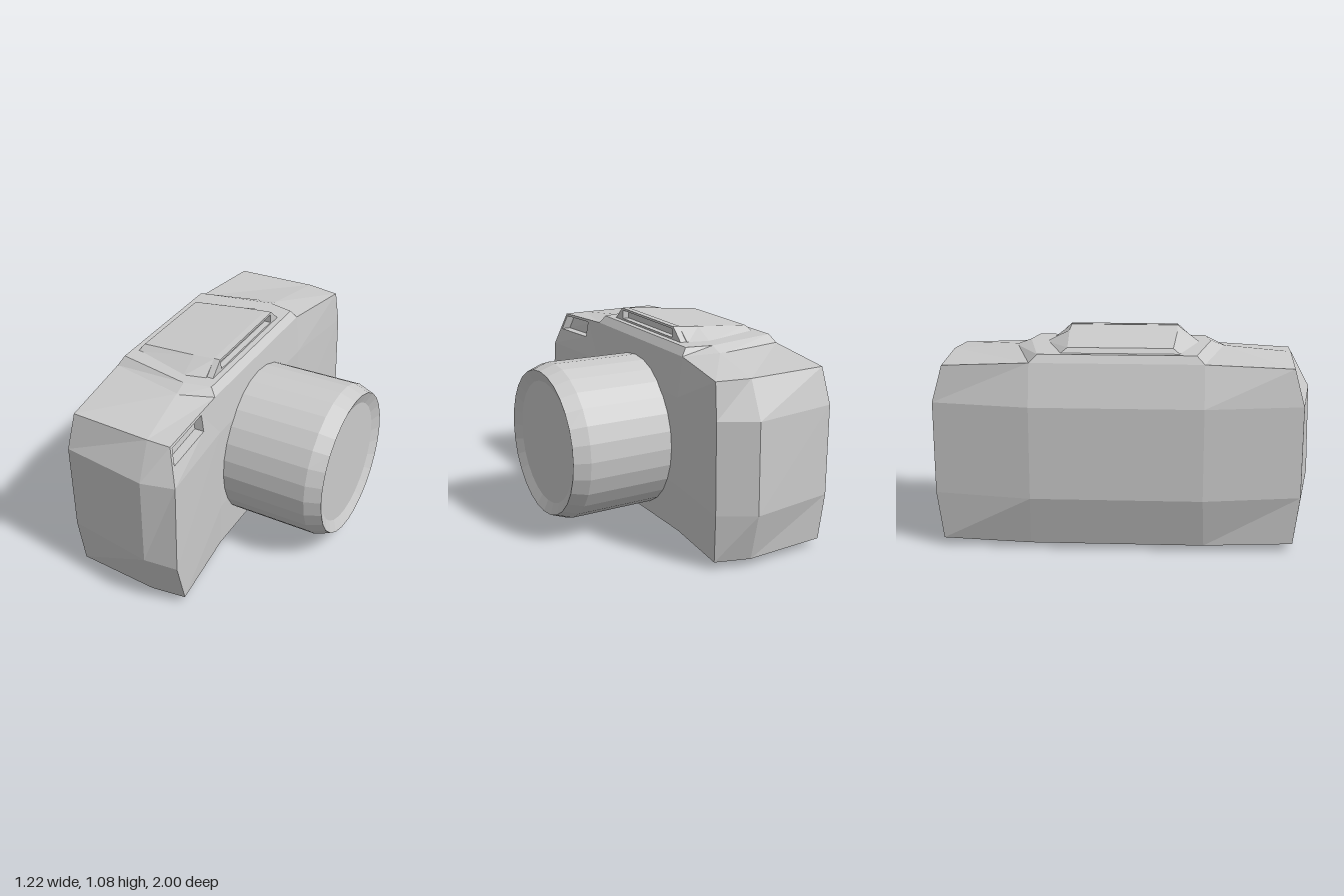
import * as THREE from 'three';

const material = new THREE.MeshStandardMaterial({ color: 0xcccccc, flatShading: true });

// Flat-shaded mesh from quads given as four counter-clockwise corners
function quadMesh(name, quads) {
  const pos = [];
  for (const [a, b, c, d] of quads) for (const p of [a, b, c, a, c, d]) pos.push(...p);
  const g = new THREE.BufferGeometry();
  g.setAttribute('position', new THREE.Float32BufferAttribute(pos, 3));
  g.computeVertexNormals();
  const mesh = new THREE.Mesh(g, material);
  mesh.name = name;
  return mesh;
}

// Quads joining closed rings stacked upward (rings run counter-clockwise from above)
function walls(rings) {
  const quads = [];
  for (let k = 0; k + 1 < rings.length; k++) {
    const lo = rings[k], hi = rings[k + 1], n = lo.length;
    for (let i = 0; i < n; i++) {
      const j = (i + 1) % n;
      quads.push([lo[i], lo[j], hi[j], hi[i]]);
    }
  }
  return quads;
}

// Quads over a grid of rows; rows run from back to front, listed from +z to -z
function sheet(rows, flip) {
  const quads = [];
  for (let r = 0; r + 1 < rows.length; r++) {
    for (let i = 0; i + 1 < rows[r].length; i++) {
      const q = [rows[r][i], rows[r][i + 1], rows[r + 1][i + 1], rows[r + 1][i]];
      quads.push(flip ? q.reverse() : q);
    }
  }
  return quads;
}

// Quads for a panel with a rectangular recess pushed back along x
function recessedPanel([a, b, c, d], u0, u1, v0, v1, depth) {
  const mix = (p, q, t) => p.map((v, i) => v + (q[i] - v) * t);
  const at = (u, v) => mix(mix(a, b, u), mix(d, c, u), v);
  const outer = [a, b, c, d];
  const rim = [at(u0, v0), at(u1, v0), at(u1, v1), at(u0, v1)];
  const floor = rim.map(([x, y, z]) => [x - depth, y, z]);
  return [...walls([outer, rim]), ...walls([rim, floor]), floor];
}

// Six-sided ring from back, middle and front points, mirrored about z = offset
function mirroredRing(points, offset = 0) {
  const side = (s) => points.map(([x, y, z]) => [x, y, offset + s * z]);
  return [...side(1), ...side(-1).reverse()];
}

function makeBody() {
  // Per level: back centre, back end, end middle, front centre as [x, y, z]
  const levels = [
    [[-0.54, 0.03, 0.44], [-0.52, 0.04, 0.89], [-0.08, 0.04, 0.93], [0.05, 0.035, 0.45]],
    [[-0.61, 0.29, 0.43], [-0.53, 0.29, 0.92], [-0.07, 0.29, 1.0], [0.06, 0.29, 0.45]],
    [[-0.61, 0.76, 0.43], [-0.53, 0.76, 0.92], [-0.07, 0.76, 0.99], [0.06, 0.76, 0.45]],
    [[-0.55, 0.97, 0.43], [-0.51, 0.945, 0.87], [-0.08, 0.945, 0.89], [0.04, 0.97, 0.46]],
  ];
  // Front corners differ on the two ends
  const gripCorner = [[0.1, 0.04, 0.91], [0.11, 0.29, 0.985], [0.1, 0.76, 0.95], [0.045, 0.945, 0.89]];
  const farCorner = [[0.1, 0.04, -0.88], [0.11, 0.29, -0.9], [0.11, 0.76, -0.89], [0.1, 0.945, -0.86]];
  const flip = ([x, y, z]) => [x, y, -z];
  const rings = levels.map(([bc, be, m, fc], i) => [
    bc, be, m, gripCorner[i], fc, flip(fc), farCorner[i], flip(m), flip(be), flip(bc),
  ]);

  const quads = walls(rings);
  // Viewfinder window takes the place of the upper front panel on the grip side
  const panel = 2 * 10 + 3;
  quads.splice(panel, 1, ...recessedPanel(quads[panel], 0.04, 0.68, 0.5, 0.93, 0.05));

  // Top and bottom, each with a raised crease near the centre
  const cap = (r, mid, down) => sheet([
    [r[1], r[2], r[3]], [r[0], mid, r[4]], [r[9], flip(mid), r[5]], [r[8], r[7], r[6]],
  ], down);
  quads.push(...cap(rings[3], [-0.13, 0.985, 0.54], false));
  quads.push(...cap(rings[0], [-0.13, 0, 0.45], true));
  return quadMesh('body', quads);
}

function makeTopPlateau() {
  const low = mirroredRing([[-0.55, 0.97, 0.43], [-0.13, 0.98, 0.55], [0.04, 0.97, 0.46]]);
  const high = mirroredRing([[-0.53, 1.01, 0.39], [-0.13, 1.01, 0.47], [0.01, 1.01, 0.44]]);
  const top = sheet([high.slice(0, 3), high.slice(3).reverse()], false);
  return quadMesh('topPlateau', [...walls([low, high]), ...top]);
}

function makeFlash() {
  const group = new THREE.Group();
  group.name = 'flashUnit';
  const zc = 0.015;
  // Wedge-shaped housing, rising to the front
  const low = mirroredRing([[-0.5, 1.005, 0.3], [-0.17, 1.005, 0.4], [-0.055, 1.005, 0.37]], zc);
  const high = mirroredRing([[-0.48, 1.035, 0.26], [-0.17, 1.065, 0.28], [-0.055, 1.076, 0.28]], zc);
  const top = sheet([high.slice(0, 3), high.slice(3).reverse()], false);
  group.add(quadMesh('flashHousing', [...walls([low, high]), ...top]));

  // Frame around the flash window
  const frame = new THREE.Shape([[-0.36, 1.005], [0.36, 1.005], [0.28, 1.078], [-0.28, 1.078]]
    .map(([x, y]) => new THREE.Vector2(x, y)));
  frame.holes.push(new THREE.Path([[-0.27, 1.02], [-0.27, 1.066], [0.27, 1.066], [0.27, 1.02]]
    .map(([x, y]) => new THREE.Vector2(x, y))));
  const geometry = new THREE.ExtrudeGeometry(frame, { depth: 0.035, bevelEnabled: false });
  geometry.rotateY(Math.PI / 2).translate(-0.056, 0, zc);
  const mesh = new THREE.Mesh(geometry, material);
  mesh.name = 'flashFrame';
  group.add(mesh);
  return group;
}

function makeLens() {
  // Barrel, front chamfer, inward rim and recessed glass
  const profile = [[0, 0.04], [0.41, 0.04], [0.415, 0.52], [0.385, 0.605], [0.325, 0.58], [0, 0.58]]
    .map(([r, h]) => new THREE.Vector2(r, h));
  const mesh = new THREE.Mesh(new THREE.LatheGeometry(profile, 28), material);
  mesh.name = 'lens';
  mesh.rotation.z = -Math.PI / 2;
  mesh.position.set(0, 0.472, 0.015);
  return mesh;
}

export function createModel() {
  const model = new THREE.Group();
  model.name = 'camera';
  model.add(makeBody(), makeTopPlateau(), makeFlash(), makeLens());
  return model;
}
